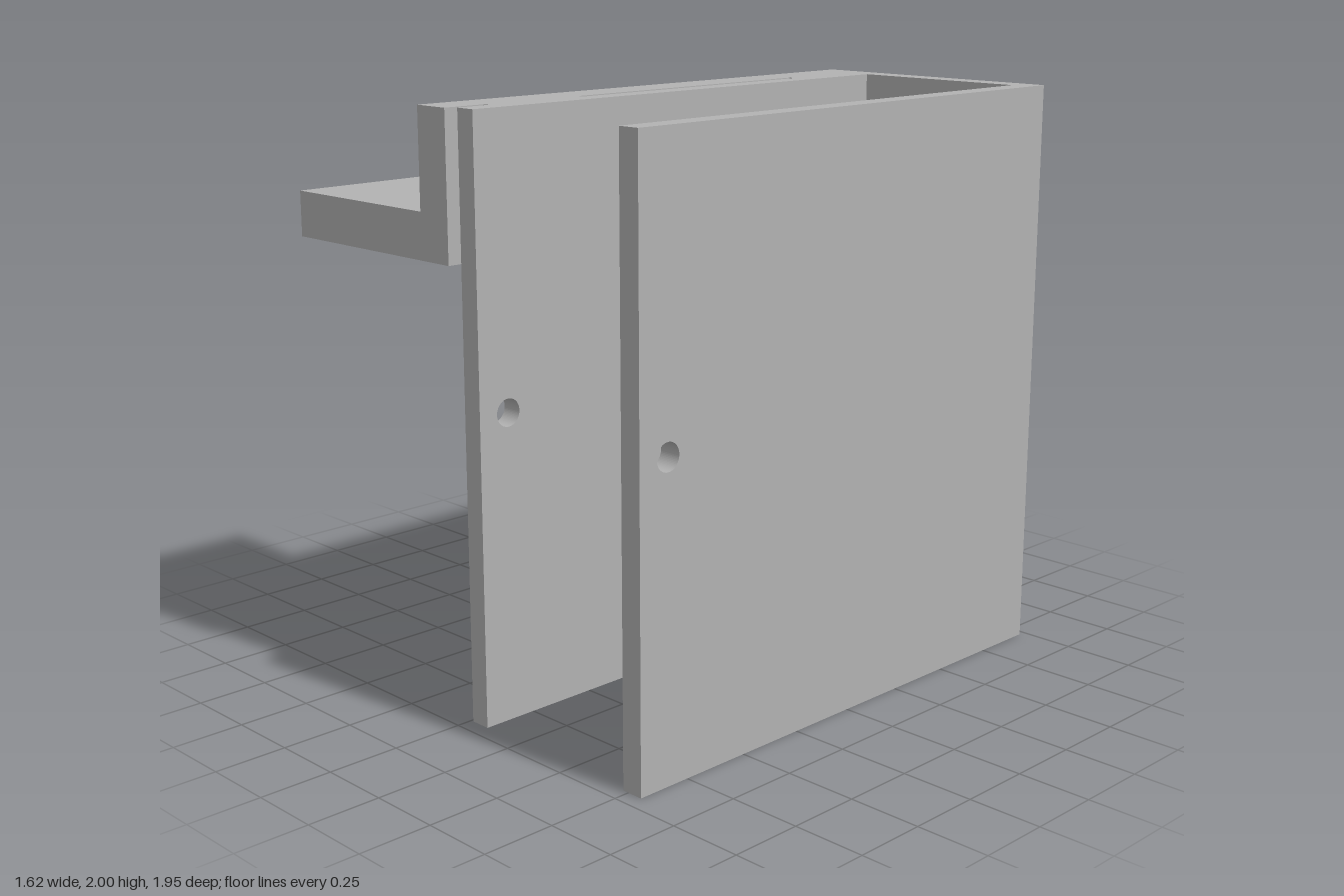
import * as THREE from 'three';

export function createModel() {
  const model = new THREE.Group();
  const grey = new THREE.MeshStandardMaterial({ color: 0xb2b2b2 });
  grey.name = 'plain grey';

  const add = (name, geometry) => {
    const mesh = new THREE.Mesh(geometry, grey);
    mesh.name = name;
    model.add(mesh);
  };

  // Box given by its limits on each axis
  const box = (name, [x0, x1], [y0, y1], [z0, z1]) => {
    const g = new THREE.BoxGeometry(x1 - x0, y1 - y0, z1 - z0);
    g.translate((x0 + x1) / 2, (y0 + y1) / 2, (z0 + z1) / 2);
    add(name, g);
  };

  // Side profile of (z, y) points, extruded from x0 to x1
  const slab = (name, points, [x0, x1], hole) => {
    const shape = new THREE.Shape(points.map(([z, y]) => new THREE.Vector2(z, y)));
    if (hole) {
      const path = new THREE.Path();
      path.absarc(hole.z, hole.y, hole.r, 0, Math.PI * 2, true);
      shape.holes.push(path);
    }
    const g = new THREE.ExtrudeGeometry(shape, { depth: x1 - x0, bevelEnabled: false, curveSegments: 32 });
    g.rotateY(-Math.PI / 2);
    g.translate(x1, 0, 0);
    add(name, g);
  };

  const back = -0.975, front = 0.975, plateFront = 0.945;
  const inner = [0.01, 0.083], outer = [0.728, 0.805];

  // Two tall side plates, each with a round pin hole
  const plate = [[back, 0], [plateFront, 0], [plateFront, 2], [back, 2]];
  const pinHole = { z: 0.83, y: 1.037, r: 0.046 };
  slab('innerPlate', plate, inner, pinHole);
  slab('outerPlate', plate, outer, pinHole);

  // Back wall joining the plates, with two small stops in its corners
  box('backWall', [inner[1], outer[0]], [0.99, 2], [back, -0.898]);
  box('innerStop', [inner[1], 0.145], [1.09, 1.128], [-0.898, -0.8]);
  box('outerStop', [0.666, outer[0]], [1.09, 1.128], [-0.898, -0.8]);

  // Side rail, deeper where it carries the arm
  slab('rail', [[back, 1.56], [0.285, 1.56], [0.285, 1.513], [front, 1.513], [front, 2], [back, 2]], [-0.15, -0.015]);
  box('arm', [-0.81, -0.15], [1.513, 1.668], [0.285, front]);

  // Bridges between rail and plate, leaving the slots open
  box('rearBridge', [-0.015, inner[0]], [1.56, 2], [back, -0.585]);
  box('frontBridge', [-0.015, inner[0]], [1.56, 2], [0.433, 0.822]);

  return model;
}
